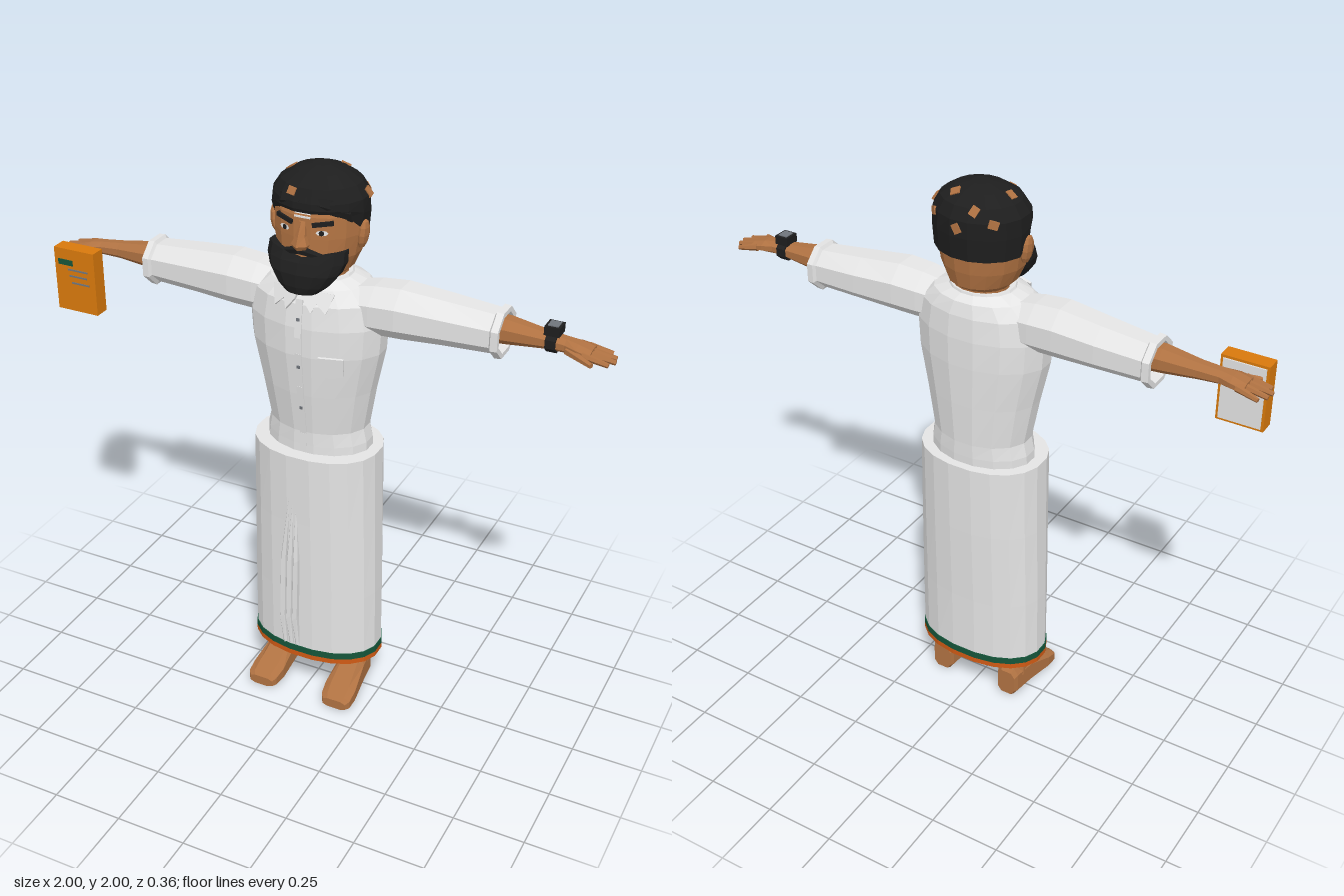
import * as THREE from 'three';

const mat = (name, color) => Object.assign(new THREE.MeshStandardMaterial({ color }), { name });

// Faceted normals for any geometry
function flat(geo) {
  const g = geo.index ? geo.toNonIndexed() : geo;
  g.computeVertexNormals();
  return g;
}

// Mirror a faceted geometry across x = 0, keeping faces outward
function mirrorX(geo) {
  const g = geo.clone(), p = g.attributes.position, a = new THREE.Vector3(), b = new THREE.Vector3();
  g.scale(-1, 1, 1);
  for (let i = 0; i < p.count; i += 3) {
    a.fromBufferAttribute(p, i + 1);
    b.fromBufferAttribute(p, i + 2);
    p.setXYZ(i + 1, b.x, b.y, b.z);
    p.setXYZ(i + 2, a.x, a.y, a.z);
  }
  g.computeVertexNormals();
  return g;
}

// Skin through rings [position, centreA, centreB, radiusA, radiusB] along an axis:
// y -> (x, z), x -> (y, z), z -> (x, y). pow < 1 squares the section.
function loft(rings, n = 16, axis = 'y', caps = true, pow = 1, warp = null) {
  const pos = [], idx = [], k = 1 / Math.pow(Math.cos(Math.PI / n), pow);
  const put = (p, a, b) => {
    const v = axis === 'y' ? [a, p, b] : axis === 'x' ? [p, a, -b] : [a, -b, p];
    pos.push(...(warp ? warp(...v) : v));
  };
  const bend = v => Math.sign(v) * Math.pow(Math.abs(v), pow) * k;
  const flip = axis === 'y' ? 1 : -1;
  for (const [p, ca, cb, ra, rb] of rings)
    for (let j = 0; j < n; j++) {
      const t = (j + 0.5) / n * Math.PI * 2;
      put(p, ca + ra * bend(Math.cos(t)), cb * flip + rb * bend(Math.sin(t)));
    }
  for (let i = 0; i < rings.length - 1; i++)
    for (let j = 0; j < n; j++) {
      const a = i * n + j, b = i * n + (j + 1) % n;
      idx.push(a, a + n, b, b, a + n, b + n);
    }
  if (caps) {
    const last = (rings.length - 1) * n, c = pos.length / 3;
    for (const r of [rings[0], rings[rings.length - 1]]) put(r[0], r[1], r[2] * flip);
    for (let j = 0; j < n; j++) {
      const m = (j + 1) % n;
      idx.push(c, j, m, c + 1, last + m, last + j);
    }
  }
  const g = new THREE.BufferGeometry();
  g.setAttribute('position', new THREE.Float32BufferAttribute(pos, 3));
  g.setIndex(idx);
  return flat(g);
}

// Tapered rod between two points
function rod(a, b, ra, rb, n = 6) {
  const A = new THREE.Vector3(...a), d = new THREE.Vector3(...b).sub(A);
  const g = new THREE.CylinderGeometry(rb, ra, d.length(), n).translate(0, d.length() / 2, 0);
  g.applyQuaternion(new THREE.Quaternion().setFromUnitVectors(new THREE.Vector3(0, 1, 0), d.normalize()));
  return flat(g.translate(...a));
}

export function createModel() {
  const root = new THREE.Group();
  root.name = 'standingMan';
  const skin = mat('skin', 0xb07242), white = mat('whiteCloth', 0xe4e4e4), black = mat('black', 0x1e1e1e),
    orange = mat('bookOrange', 0xd8790c), trim = mat('hemOrange', 0xd05a14), green = mat('green', 0x15553a),
    grey = mat('grey', 0x70757c);

  const add = (name, geo, m) => {
    const mesh = new THREE.Mesh(geo, m);
    mesh.name = name;
    root.add(mesh);
    return mesh;
  };
  const pair = (name, geo, m) => {
    add(name + 'Left', geo, m);
    add(name + 'Right', mirrorX(geo), m);
  };
  const box = (w, h, d, x = 0, y = 0, z = 0) => flat(new THREE.BoxGeometry(w, h, d).translate(x, y, z));
  // Lay a thin piece on a surface, looking for it along dir through target
  const stick = (on, name, geo, m, target, dir = [0, 0, 1], roll = 0) => {
    const d = new THREE.Vector3(...dir).normalize();
    const origin = new THREE.Vector3(...target).addScaledVector(d, 1);
    const hit = new THREE.Raycaster(origin, d.clone().negate()).intersectObject(on)[0];
    if (!hit) return;
    const mesh = add(name, geo, m);
    mesh.position.copy(hit.point);
    mesh.lookAt(hit.point.clone().add(hit.face.normal));
    mesh.rotateZ(roll);
  };

  // Feet and ankles
  pair('foot', loft([[-0.085, 0.14, 0.055, 0.035, 0.05], [-0.07, 0.14, 0.06, 0.042, 0.06], [0.01, 0.142, 0.06, 0.05, 0.06],
    [0.12, 0.147, 0.034, 0.06, 0.034], [0.165, 0.15, 0.025, 0.056, 0.025], [0.18, 0.15, 0.02, 0.045, 0.018]], 8, 'z', true, 0.6), skin);
  pair('ankle', loft([[0.08, 0.142, -0.02, 0.046, 0.05], [0.16, 0.145, -0.01, 0.036, 0.04], [0.45, 0.13, -0.005, 0.06, 0.06]], 8), skin);

  // Wrapped lower garment with hollow hem and two coloured bands
  add('wrapSkirt', loft([[0.9, 0, -0.005, 0.2, 0.13], [0.18, 0, -0.004, 0.228, 0.14], [0.21, 0, -0.004, 0.238, 0.15],
    [0.45, 0, -0.004, 0.236, 0.154], [0.75, 0, -0.005, 0.23, 0.162], [1.02, 0, -0.004, 0.225, 0.169]], 20, 'y', true, 0.9), white);
  const band = (lo, hi) => loft([[hi, 0, -0.004, 0.23, 0.142], [lo, 0, -0.004, 0.23, 0.142],
    [lo, 0, -0.004, 0.241, 0.153], [hi, 0, -0.004, 0.241, 0.153], [hi, 0, -0.004, 0.23, 0.142]], 20, 'y', false, 0.9);
  add('greenHemBand', band(0.185, 0.21), green);
  add('orangeHemBand', band(0.165, 0.185), trim);
  for (let i = 0; i < 3; i++) {
    const x = -0.06 + i * 0.024;
    add('frontPleat', loft([[0.22, x, 0.145, 0.007, 0.012], [0.35, x - 0.003, 0.15, 0.009, 0.03],
      [0.6, x + 0.004, 0.152, 0.009, 0.028], [0.86 - i * 0.03, -0.035 + i * 0.012, 0.15, 0.002, 0.008]], 6), white);
  }

  // Shirt body
  const shirt = add('shirtBody', loft([[0.98, 0, -0.012, 0.188, 0.13], [1.05, 0, -0.014, 0.185, 0.13], [1.1, 0, -0.014, 0.174, 0.13],
    [1.25, 0, -0.008, 0.2, 0.143], [1.4, 0, -0.003, 0.232, 0.153], [1.5, 0, -0.003, 0.238, 0.153], [1.58, 0, -0.005, 0.222, 0.145],
    [1.625, 0, -0.012, 0.17, 0.125], [1.645, 0, -0.012, 0.115, 0.1]], 16), white);
  add('collarBand', loft([[1.6, 0, -0.01, 0.135, 0.115], [1.652, 0, -0.014, 0.108, 0.097], [1.652, 0, -0.014, 0.1, 0.09],
    [1.62, 0, -0.014, 0.1, 0.09]], 16), white);
  const flap = new THREE.Shape([[0.005, 0.035], [0.015, 0], [0.04, -0.04], [0.058, -0.008], [0.088, -0.04], [0.115, 0.025]]
    .map(p => new THREE.Vector2(...p)));
  pair('collarFlap', flat(new THREE.ExtrudeGeometry(flap, { depth: 0.008, bevelEnabled: false })
    .rotateX(-0.4).rotateY(0.3).translate(0, 1.595, 0.142)), white);
  for (let i = 0; i < 9; i++)
    stick(shirt, 'buttonPlacket', box(0.024, 0.068, 0.006), white, [0, 1.06 + i * 0.063, 0]);
  for (const y of [1.53, 1.36, 1.2])
    stick(shirt, 'button', box(0.01, 0.01, 0.014), grey, [0, y, 0]);
  const pocket = new THREE.Shape([[-0.042, 0.035], [-0.042, -0.03], [0, -0.042], [0.042, -0.03], [0.042, 0.035]]
    .map(p => new THREE.Vector2(...p)));
  stick(shirt, 'chestPocket', flat(new THREE.ExtrudeGeometry(pocket, { depth: 0.009, bevelEnabled: false })), white, [0.108, 1.375, 0]);

  // Sleeves, forearms and hands
  pair('sleeve', loft([[0.13, 1.55, -0.008, 0.075, 0.08], [0.21, 1.555, -0.01, 0.085, 0.09], [0.3, 1.56, -0.012, 0.087, 0.094],
    [0.45, 1.556, -0.02, 0.077, 0.087], [0.61, 1.55, -0.025, 0.068, 0.074], [0.617, 1.549, -0.025, 0.08, 0.084],
    [0.64, 1.549, -0.025, 0.078, 0.082], [0.64, 1.549, -0.025, 0.062, 0.066], [0.59, 1.55, -0.025, 0.058, 0.062]], 8, 'x'), white);
  pair('forearm', loft([[0.56, 1.56, -0.02, 0.045, 0.052], [0.65, 1.563, -0.02, 0.042, 0.046], [0.77, 1.56, -0.018, 0.028, 0.032],
    [0.84, 1.558, -0.014, 0.023, 0.03], [0.88, 1.556, -0.012, 0.02, 0.042], [0.925, 1.55, -0.012, 0.014, 0.045]], 8, 'x'), skin);
  for (let i = 0; i < 4; i++) {
    const z = -0.047 + i * 0.024, tip = [0.975, 0.995, 1, 0.985][i];
    pair('finger', rod([0.9, 1.552, z], [tip, 1.537, z * 1.2 - 0.002], 0.013, 0.008), skin);
  }
  pair('thumb', rod([0.85, 1.55, 0.01], [0.94, 1.54, 0.058], 0.016, 0.009), skin);

  // Wrist watch
  add('watchStrap', loft([[0.778, 1.56, -0.018, 0.034, 0.037], [0.812, 1.56, -0.018, 0.034, 0.037]], 8, 'x'), black);
  add('watchCase', box(0.05, 0.03, 0.055, 0.795, 1.6, -0.018), black);
  add('watchDial', box(0.034, 0.004, 0.038, 0.795, 1.616, -0.018), grey);

  // Book held in the right hand
  add('bookCover', box(0.16, 0.23, 0.055, -0.88, 1.47, 0.087), orange);
  add('bookPages', box(0.142, 0.212, 0.006, -0.88, 1.47, 0.058), white);
  add('bookLabel', box(0.058, 0.02, 0.004, -0.916, 1.535, 0.115), green);
  [[-0.868, 1.51, 0.08], [-0.868, 1.487, 0.07], [-0.86, 1.462, 0.07]].forEach(([x, y, w]) =>
    add('bookLine', box(w, 0.006, 0.004, x, y, 0.115), grey));

  // Head, nose and ears
  const head = add('head', loft([[1.57, 0, -0.02, 0.088, 0.085], [1.655, 0, -0.02, 0.09, 0.082], [1.675, 0, -0.01, 0.112, 0.118],
    [1.73, 0, -0.008, 0.137, 0.131], [1.8, 0, -0.012, 0.148, 0.132], [1.87, 0, -0.015, 0.148, 0.13],
    [1.92, 0, -0.02, 0.13, 0.115], [1.96, 0, -0.02, 0.08, 0.08]], 16), skin);
  add('nose', loft([[1.768, 0, 0.12, 0.02, 0.028], [1.783, 0, 0.122, 0.028, 0.035], [1.81, 0, 0.12, 0.017, 0.025],
    [1.855, 0, 0.11, 0.012, 0.013]], 6), skin);
  pair('ear', flat(new THREE.SphereGeometry(1, 8, 6).scale(0.018, 0.05, 0.029).rotateZ(-0.12).translate(0.154, 1.797, -0.005)), skin);

  // Hair cap, its edge rising from the nape to the forehead
  const hairline = (x, y, z) => {
    const k = 1 - 0.85 * THREE.MathUtils.smoothstep(z, -0.05, 0.09);
    return [x, y < 1.9 ? 1.9 - (1.9 - y) * k : y, z];
  };
  const hair = add('hair', loft([[1.79, 0, -0.02, 0.138, 0.125], [1.785, 0, -0.02, 0.154, 0.137], [1.86, 0, -0.02, 0.16, 0.141],
    [1.915, 0, -0.02, 0.157, 0.139], [1.955, 0, -0.022, 0.132, 0.118], [1.985, 0, -0.024, 0.085, 0.075],
    [2, 0, -0.025, 0.03, 0.028]], 16, 'y', true, 1, hairline), black);
  for (const s of [-1, 1])
    add('fringe', loft([[-0.02 * s + 0.02, 1.91, 0.11, 0.016, 0.014], [0.08, 1.912, 0.092, 0.022, 0.022],
      [0.14, 1.885, 0.045, 0.028, 0.022]], 6, 'x'), black).geometry = s > 0
      ? loft([[0.01, 1.918, 0.102, 0.014, 0.014], [0.08, 1.908, 0.085, 0.024, 0.02], [0.138, 1.88, 0.035, 0.03, 0.02]], 6, 'x')
      : mirrorX(loft([[0.01, 1.918, 0.102, 0.014, 0.014], [0.08, 1.908, 0.085, 0.024, 0.02], [0.138, 1.88, 0.035, 0.03, 0.02]], 6, 'x'));

  // Bare patches showing through the hair
  [[-0.3, 0.45, 0.8], [0.35, 0.75, -0.55], [-0.75, 0.7, 0], [0.05, 0.1, -1], [-0.7, 0.25, -0.7], [0.75, 0.2, -0.6],
    [-0.3, 0.5, -0.8], [0.95, 0.3, -0.15]].forEach((d, i) =>
    stick(hair, 'barePatch', box(0.032, 0.026, 0.008), skin, [0, 1.875, -0.02], d, i * 0.7));

  // Eyes, brows and forehead stripes
  for (const s of [-1, 1]) {
    stick(head, 'eyeWhite', flat(new THREE.CircleGeometry(0.02, 8).scale(1, 0.45, 1).translate(0, 0, 0.004)), white, [s * 0.064, 1.823, 0]);
    stick(head, 'iris', flat(new THREE.CircleGeometry(0.009, 8).translate(0, 0, 0.006)), black, [s * 0.062, 1.823, 0]);
    stick(head, 'brow', box(0.068, 0.014, 0.016), black, [s * 0.065, 1.852, 0], [0, 0, 1], s * 0.14);
  }
  for (let i = 0; i < 3; i++)
    stick(head, 'foreheadStripe', box(0.055, 0.006, 0.006), white, [0, 1.869 + i * 0.011, 0]);

  // Beard jutting forward at the chin, with a drooping moustache
  const dip = (x, y, z) => [x, y > 1.74 ? y - 0.025 * Math.max(0, 1 - Math.abs(x) / 0.11) : y, z];
  add('beard', loft([[1.622, 0, 0.115, 0.055, 0.042], [1.648, 0, 0.105, 0.088, 0.058], [1.69, 0, 0.092, 0.12, 0.07],
    [1.725, 0, 0.08, 0.134, 0.066], [1.762, 0, 0.07, 0.132, 0.06]], 14, 'y', true, 0.9, dip), black);
  pair('moustache', rod([0, 1.765, 0.132], [0.085, 1.738, 0.105], 0.016, 0.008), black);
  return root;
}
